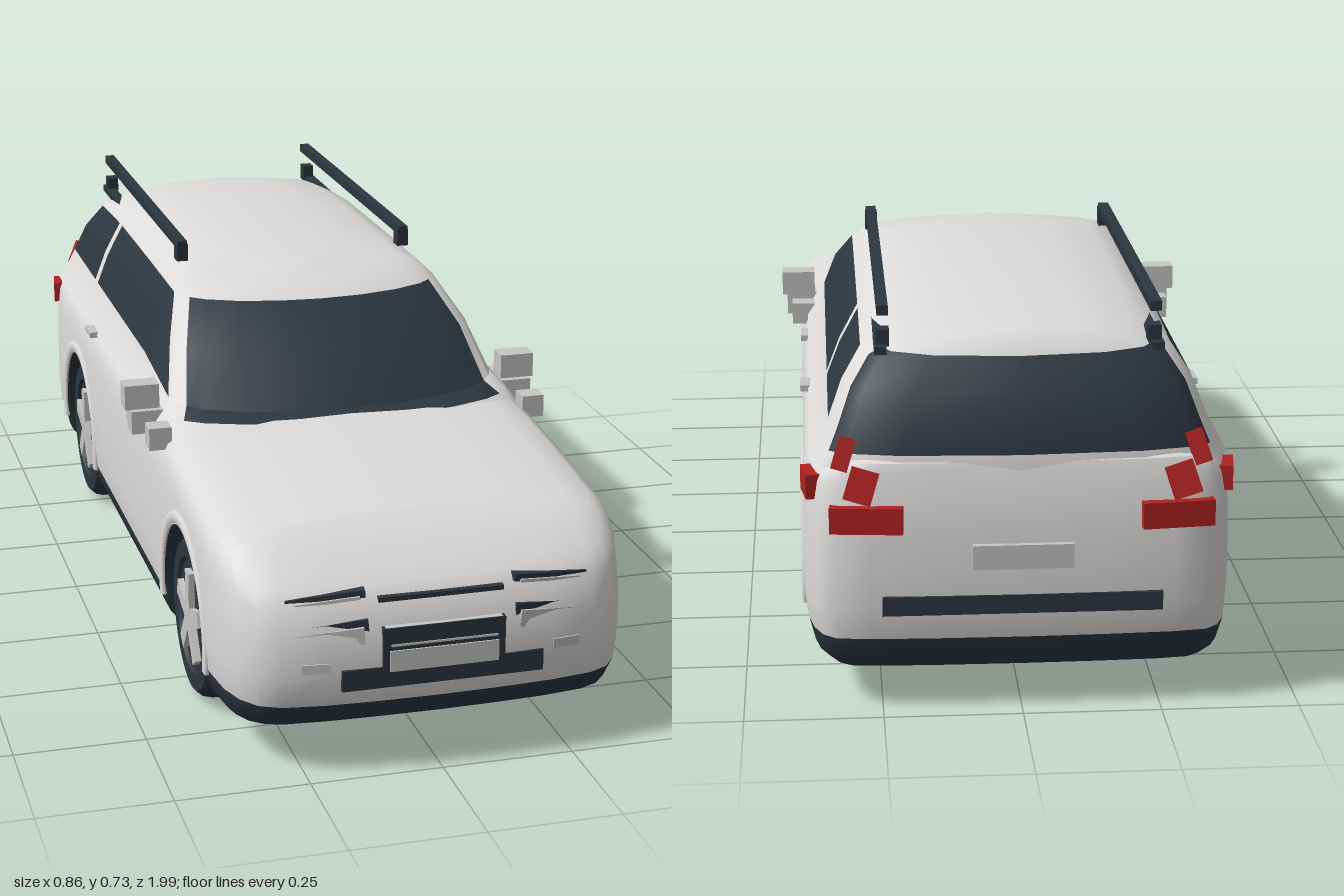
import * as THREE from 'three';
import { toCreasedNormals } from 'three/addons/utils/BufferGeometryUtils.js';

const material = (name, color) => {
  const m = new THREE.MeshStandardMaterial({ color });
  m.name = name;
  return m;
};

const AXLES = [0.57, -0.555], WHEEL_Y = 0.16, ARCH = 0.18, FLOOR = 0.07;

// Height of the lower body edge: the floor, or the wheel arch above it
function lowerEdge(z) {
  for (const c of AXLES) {
    const d = Math.abs(z - c);
    if (d <= ARCH + 1e-5) return WHEEL_Y + Math.sqrt(Math.max(0, ARCH * ARCH - d * d));
  }
  return FLOOR;
}

// Stacks mirrored horizontal rings; dark(row, column) picks the second material
function loft(halfRings, dark, mats, name) {
  const n = halfRings[0].length, m = 2 * n - 2, pos = [], idx = [[], []];
  for (const half of halfRings) {
    for (let k = 0; k < m; k++) {
      const [x, y, z] = half[k < n ? k : m - k];
      pos.push(k < n ? x : -x, y, z);
    }
  }
  const at = (i) => new THREE.Vector3().fromArray(pos, i * 3);
  const tri = (list, a, b, c) => {
    const A = at(a);
    if (at(b).sub(A).cross(at(c).sub(A)).length() > 1e-9) list.push(a, b, c);
  };
  for (let j = 0; j < halfRings.length - 1; j++) {
    for (let k = 0; k < m; k++) {
      const list = idx[dark(j, k < n - 1 ? k : m - 1 - k) ? 1 : 0];
      const a = j * m + k, b = j * m + (k + 1) % m;
      tri(list, a, b, b + m);
      tri(list, a, b + m, a + m);
    }
  }
  const g = new THREE.BufferGeometry();
  g.setAttribute('position', new THREE.Float32BufferAttribute(pos, 3));
  g.setIndex([...idx[0], ...idx[1]]);
  g.addGroup(0, idx[0].length, 0);
  g.addGroup(idx[0].length, idx[1].length, 1);
  const mesh = new THREE.Mesh(toCreasedNormals(g, 0.6), mats);
  mesh.name = name;
  return mesh;
}

export function createModel() {
  const car = new THREE.Group();
  car.name = 'estateCar';
  const paint = material('paint', 0xdedcda);
  const dark = material('darkTrim', 0x2d363e);
  const silver = material('silver', 0xc6c6c4);
  const red = material('lampRed', 0xb02222);

  const box = (name, mat, size, p, rot = [0, 0, 0]) => {
    const mesh = new THREE.Mesh(new THREE.BoxGeometry(...size), mat);
    mesh.name = name;
    mesh.position.set(...p);
    mesh.rotation.set(...rot);
    car.add(mesh);
  };
  const pair = (name, mat, size, [x, y, z], [rx, ry, rz] = [0, 0, 0]) => {
    box(name + 'Left', mat, size, [x, y, z], [rx, ry, rz]);
    box(name + 'Right', mat, size, [-x, y, z], [rx, -ry, -rz]);
  };

  // Lower body: side stations are dense around the wheel arches
  const sides = [];
  for (const c of AXLES) {
    sides.push(c + ARCH + 0.002);
    for (let k = 0; k <= 18; k++) sides.push(c + ARCH * Math.cos(k * Math.PI / 18));
    sides.push(c - ARCH - 0.002);
    if (c > 0) sides.push(0.2, 0, -0.2);
  }
  // Ends as [share of width, share of overhang]
  const nose = [[0, 1], [0.3, 0.99], [0.55, 0.965], [0.76, 0.91], [0.86, 0.82], [0.93, 0.65], [0.975, 0.4], [1, 0]];
  const tail = [[1, 0], [0.985, 0.4], [0.96, 0.65], [0.92, 0.83], [0.86, 0.93], [0.7, 0.97], [0.4, 0.99], [0, 1]];
  // Rows: height, half width, front z, rear z
  const bodyRows = [
    [0.07, 0, 0.90, -0.93], [0.07, 0.25, 0.90, -0.93], [0.07, 0.25, 0.90, -0.93],
    [0.07, 0.355, 0.905, -0.935], [0.095, 0.375, 0.955, -0.965], [0.14, 0.386, 0.985, -0.98],
    [0.2, 0.39, 0.993, -0.985], [0.27, 0.39, 0.99, -0.985], [0.33, 0.389, 0.968, -0.98],
    [0.38, 0.387, 0.95, -0.975], [0.42, 0.383, 0.925, -0.965], [0.445, 0.372, 0.89, -0.96],
    [0.46, 0.35, 0.86, -0.955], [0.469, 0.3, 0.83, -0.94], [0.476, 0.16, 0.81, -0.92], [0.478, 0, 0.8, -0.9],
  ];
  const bodyRings = bodyRows.map(([y0, w, f, b], j) => {
    const point = (x, z) => {
      const drop = j > 8 ? 0.045 * Math.pow(Math.max(0, (z - 0.35) / 0.5), 1.4) * Math.min(1, (y0 - 0.33) / 0.1) : 0;
      return [x, j < 2 ? y0 : Math.max(y0 - drop, lowerEdge(z)), z];
    };
    return [
      ...nose.map(([fx, g]) => point(w * fx, THREE.MathUtils.lerp(0.78, f, g))),
      ...sides.map((z) => point(w, z)),
      ...tail.map(([fx, g]) => point(w * fx, THREE.MathUtils.lerp(-0.78, b, g))),
    ];
  });
  car.add(loft(bodyRings, (j) => j < 5, [paint, dark], 'lowerBody'));

  // Cabin: windows are bands between the pillars
  const cabinSides = [0, -0.25, -0.54, -0.57, -0.7];
  const front = [[0, 0], [0.3, 0.006], [0.6, 0.026], [0.82, 0.055], [0.92, 0.08], [0.97, 0.1], [1, 0.125]];
  const rear = [[1, 0.1], [0.95, 0.05], [0.88, 0.03], [0.6, 0.01], [0, 0]];
  const cabinRows = [
    [0.445, 0.377, 0.44, -0.96], [0.473, 0.358, 0.412, -0.957], [0.515, 0.34, 0.36, -0.945],
    [0.58, 0.315, 0.265, -0.92], [0.648, 0.28, 0.15, -0.885], [0.672, 0.256, 0.105, -0.88],
    [0.69, 0.215, 0.06, -0.865], [0.7, 0.12, 0.03, -0.85], [0.704, 0, 0.02, -0.84],
  ];
  const cabinRings = cabinRows.map(([y0, w, f, b], j) => {
    const point = (x, z) => {
      let y = y0;
      if (j === 2) y -= 0.035 * THREE.MathUtils.smoothstep(z, 0.05, 0.36);
      if (j > 3) y -= 0.035 * Math.pow(Math.max(0, (-z - 0.4) / 0.45), 2) * (j > 4 ? 1 : 0.6);
      if (j > 5) y -= 0.012 * THREE.MathUtils.smoothstep(z, -0.2, 0.08);
      return [x, y, z];
    };
    return [
      ...front.map(([fx, d]) => point(w * fx, f - d)),
      ...cabinSides.map((z) => point(w, Math.min(z, f - 0.125))),
      ...rear.map(([fx, d]) => point(w * fx, b + d)),
    ];
  });
  const glass = (j, i) => {
    if (j < 1 || j > 4) return false;
    if (i < 4) return j < 4;                 // windscreen
    if (i > 12) return true;                 // tailgate glass
    return j > 1 && j < 4 && i > 5 && i !== 9 && i !== 12;  // side windows
  };
  car.add(loft(cabinRings, glass, [paint, dark], 'cabin'));

  // Wheels with five spokes, and arch lips
  const tyreProfile = [[0, -0.055], [0.145, -0.055], [0.156, -0.045], [0.16, -0.03], [0.16, 0.03],
    [0.156, 0.045], [0.145, 0.057], [0.115, 0.057], [0.11, 0.05], [0, 0.05]].map(([r, y]) => new THREE.Vector2(r, y));
  const tyreGeo = toCreasedNormals(new THREE.LatheGeometry(tyreProfile, 40), 0.6);
  const spokeGeo = new THREE.BoxGeometry(0.032, 0.012, 0.09);
  const lipGeo = new THREE.TorusGeometry(0.193, 0.014, 8, 36, Math.PI * 1.1);
  for (const s of [1, -1]) {
    AXLES.forEach((z, a) => {
      const wheel = new THREE.Group();
      wheel.name = (a ? 'rear' : 'front') + 'Wheel' + (s > 0 ? 'Left' : 'Right');
      const tyre = new THREE.Mesh(tyreGeo, dark);
      tyre.name = 'tyre';
      wheel.add(tyre);
      for (let k = 0; k < 5; k++) {
        const arm = new THREE.Group();
        arm.name = 'spokeArm';
        arm.rotation.y = k * Math.PI * 0.4 + Math.PI / 2;
        const spoke = new THREE.Mesh(spokeGeo, silver);
        spoke.name = 'spoke';
        spoke.position.set(0, 0.056, 0.048);
        arm.add(spoke);
        wheel.add(arm);
      }
      wheel.rotation.z = -s * Math.PI / 2;
      wheel.position.set(s * 0.318, WHEEL_Y, z);
      car.add(wheel);
      const lip = new THREE.Mesh(lipGeo, paint);
      lip.name = 'archLip';
      lip.rotation.set(0, Math.PI / 2, -Math.PI * 0.05, 'YZX');
      lip.scale.z = 0.5;
      lip.position.set(s * 0.387, WHEEL_Y, z);
      car.add(lip);
    });
  }

  // Front: grille, number plate, intake, lamps
  box('grille', dark, [0.23, 0.085, 0.02], [0, 0.243, 0.986]);
  box('grilleStrip', silver, [0.22, 0.006, 0.02], [0, 0.283, 0.984]);
  box('grilleBar', silver, [0.2, 0.004, 0.02], [0, 0.252, 0.988]);
  box('frontPlate', silver, [0.205, 0.04, 0.01], [0, 0.222, 0.994]);
  box('lowerIntake', dark, [0.38, 0.04, 0.04], [0, 0.19, 0.973]);
  box('bonnetSlit', dark, [0.235, 0.009, 0.02], [0, 0.332, 0.963]);
  pair('headlampFrame', dark, [0.145, 0.046, 0.04], [0.207, 0.272, 0.955], [0, 0.12, -0.09]);
  pair('headlamp', silver, [0.125, 0.032, 0.01], [0.208, 0.267, 0.975], [0, 0.12, -0.09]);
  pair('upperSlit', dark, [0.145, 0.014, 0.04], [0.21, 0.338, 0.938], [0, 0.12, -0.09]);
  pair('upperLamp', silver, [0.12, 0.006, 0.01], [0.21, 0.333, 0.957], [0, 0.12, -0.09]);
  pair('fogFrame', dark, [0.07, 0.03, 0.04], [0.236, 0.216, 0.96], [0, 0.12, 0]);
  pair('fogLamp', silver, [0.052, 0.018, 0.01], [0.236, 0.216, 0.979], [0, 0.12, 0]);

  // Rear: bumper slot, number plate, lamps
  box('bumperSlot', dark, [0.5, 0.035, 0.03], [0, 0.205, -0.972]);
  box('rearPlate', silver, [0.18, 0.045, 0.015], [0, 0.295, -0.984]);
  pair('tailLamp', red, [0.13, 0.048, 0.05], [0.275, 0.364, -0.957], [0, -0.1, 0]);
  pair('sideLamp', red, [0.03, 0.045, 0.066], [0.372, 0.408, -0.882], [0, 0.15, 0]);
  pair('upperTailLamp', red, [0.05, 0.06, 0.025], [0.285, 0.425, -0.967], [0.3, 0, 0.3]);
  pair('cornerLamp', red, [0.03, 0.06, 0.03], [0.315, 0.475, -0.935], [0.3, 0, 0.3]);

  // Mirrors made of small blocks, and door handles
  pair('mirrorHead', silver, [0.07, 0.05, 0.045], [0.396, 0.5, 0.225]);
  pair('mirrorBase', silver, [0.07, 0.047, 0.045], [0.386, 0.452, 0.24]);
  pair('mirrorRearBlock', silver, [0.048, 0.045, 0.043], [0.386, 0.447, 0.165]);
  pair('mirrorFrontBlock', silver, [0.045, 0.045, 0.043], [0.386, 0.455, 0.355]);
  pair('frontHandle', silver, [0.02, 0.012, 0.06], [0.382, 0.433, 0.02]);
  pair('rearHandle', silver, [0.02, 0.012, 0.06], [0.382, 0.445, -0.395]);

  // Roof rails with feet, and short rear bars
  pair('roofRail', dark, [0.02, 0.018, 0.82], [0.242, 0.721, -0.475]);
  pair('railFrontFoot', dark, [0.024, 0.036, 0.03], [0.242, 0.705, -0.08]);
  pair('railRearFoot', dark, [0.024, 0.03, 0.03], [0.242, 0.668, -0.86]);
  pair('rearBar', dark, [0.022, 0.014, 0.22], [0.246, 0.65, -0.785]);
  return car;
}
